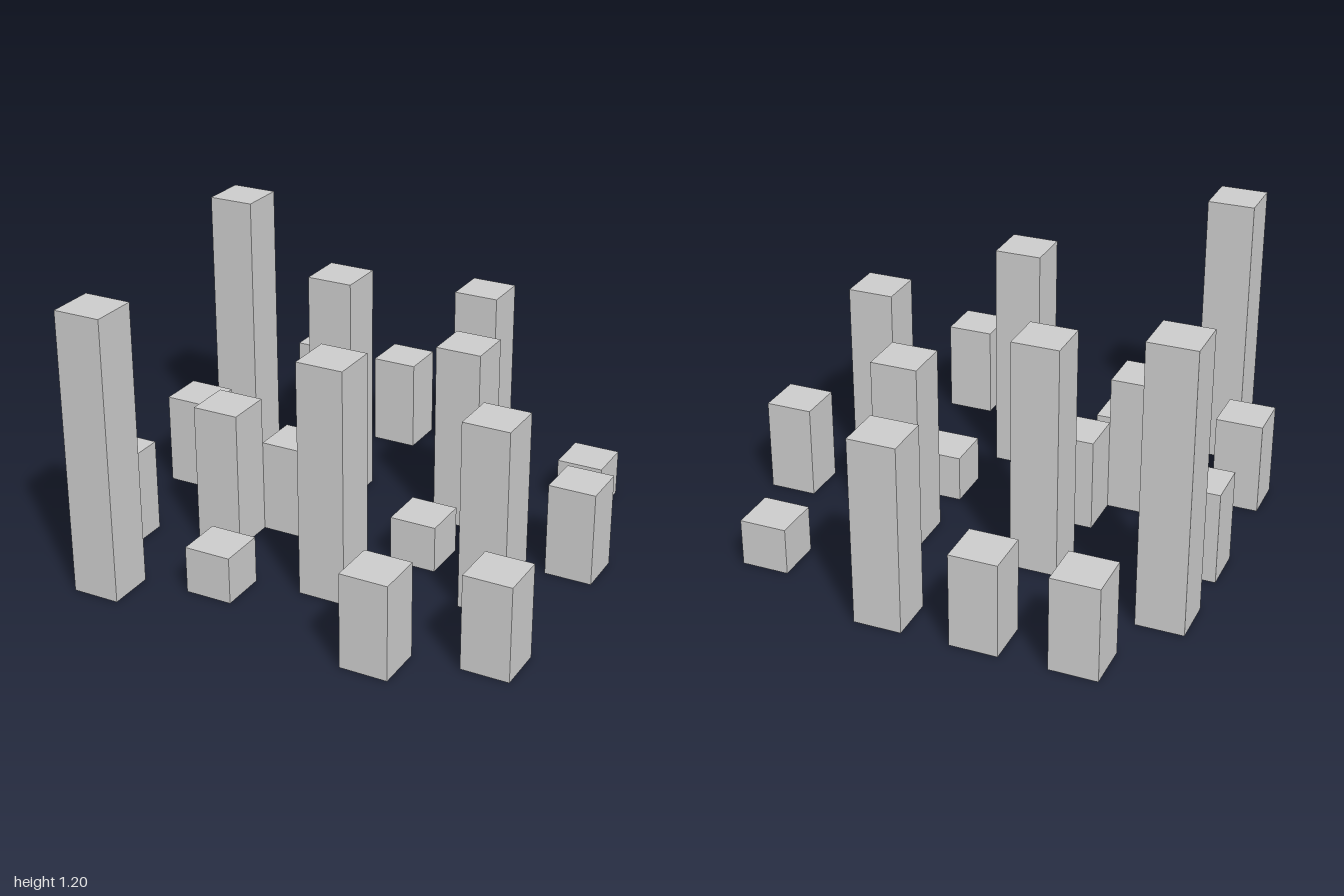
import * as THREE from 'three';

// Square columns on a 0.2 grid: [x, z, height]
const CELL = 0.2;
const COLUMNS = [
  [-0.7, -0.9, 0.4], [-0.3, -0.9, 0.4], [0.1, -0.9, 0.8],
  [0.7, -0.7, 0.2],
  [-0.9, -0.5, 1.2],
  [-0.3, -0.3, 1.0], [0.3, -0.3, 0.8],
  [-0.9, -0.1, 0.4], [0.9, -0.1, 0.4],
  [-0.3, 0.1, 0.4], [0.3, 0.1, 0.2],
  [-0.5, 0.3, 0.6], [0.7, 0.3, 0.8],
  [-0.9, 0.5, 0.4], [0.1, 0.5, 1.0],
  [-0.3, 0.7, 0.2], [0.9, 0.7, 0.4],
  [-0.7, 0.9, 1.2], [0.5, 0.9, 0.4],
];

export function createModel() {
  const model = new THREE.Group();
  model.name = 'columnField';
  const material = new THREE.MeshStandardMaterial({ color: 0xcccccc, flatShading: true });

  // Each column stands on the ground plane
  COLUMNS.forEach(([x, z, height], i) => {
    const column = new THREE.Mesh(new THREE.BoxGeometry(CELL, height, CELL), material);
    column.name = `column${i + 1}`;
    column.position.set(x, height / 2, z);
    model.add(column);
  });
  return model;
}
